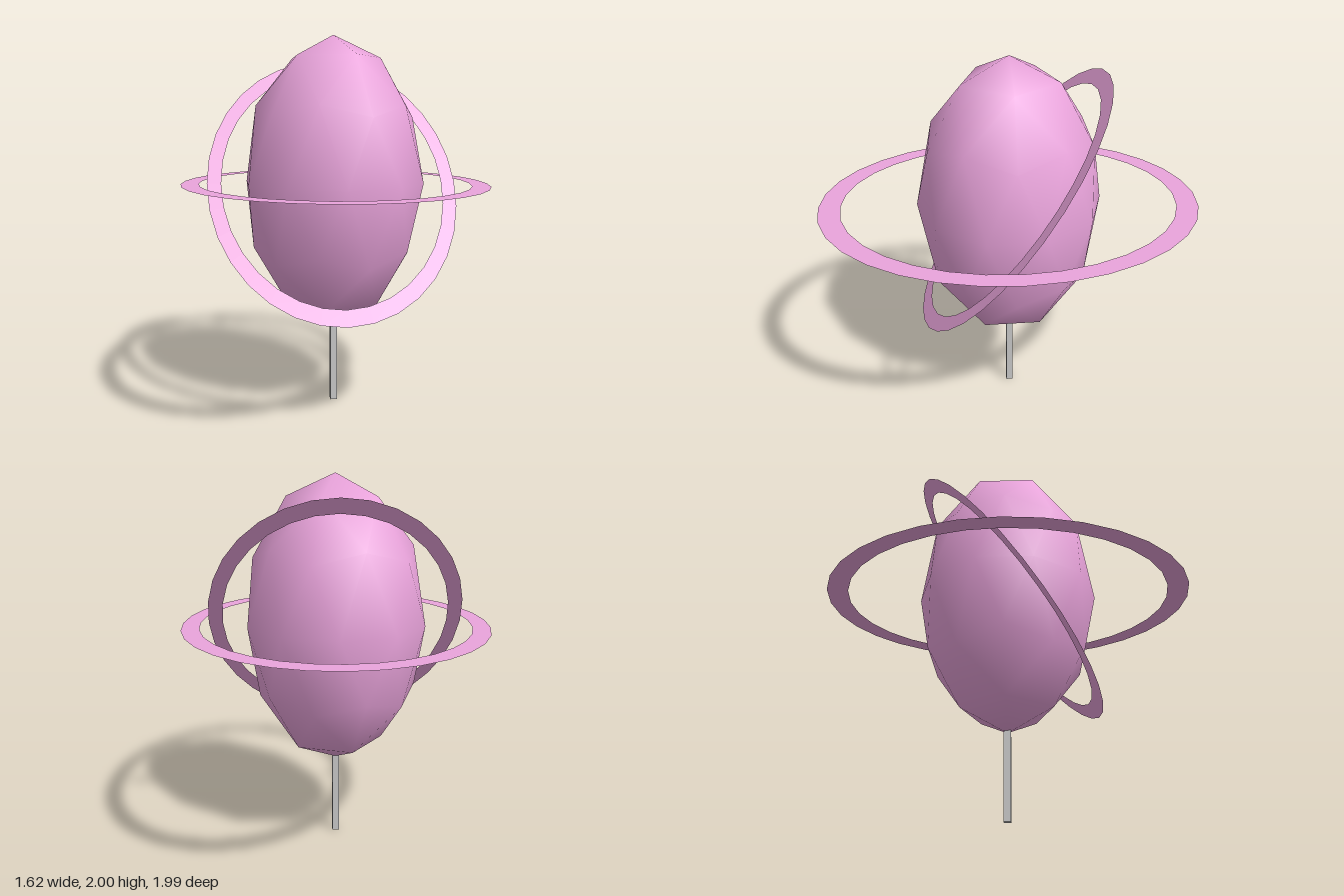
import * as THREE from 'three';

const CENTER_Y = 1.225;
const STRETCH = 1.23; // ring length compared with its width

const pink = new THREE.MeshStandardMaterial({ color: 0xeaa4dc });
const pinkThin = new THREE.MeshStandardMaterial({ color: 0xeaa4dc, side: THREE.DoubleSide });
const grey = new THREE.MeshStandardMaterial({ color: 0xcccccc });

// Flat oval ring, long axis tipped back from upright by tilt
function ring(name, inner, outer, tilt) {
  const geometry = new THREE.RingGeometry(inner, outer, 32);
  geometry.scale(1, STRETCH, 1);
  geometry.rotateX(-tilt);
  const mesh = new THREE.Mesh(geometry, pinkThin);
  mesh.name = name;
  mesh.position.y = CENTER_Y;
  return mesh;
}

export function createModel() {
  const group = new THREE.Group();
  group.name = 'ringedOrb';

  // Egg-shaped body: icosphere with a corner at each pole, stretched upright
  const bodyGeometry = new THREE.IcosahedronGeometry(1, 1);
  bodyGeometry.rotateX(-Math.atan((1 + Math.sqrt(5)) / 2));
  bodyGeometry.rotateY(Math.PI / 2);
  bodyGeometry.scale(0.485, 0.775, 0.485);
  const body = new THREE.Mesh(bodyGeometry, pink);
  body.name = 'body';
  body.position.y = CENTER_Y;
  group.add(body);

  // Square stick
  const stick = new THREE.Mesh(new THREE.BoxGeometry(0.037, 0.46, 0.037), grey);
  stick.name = 'stick';
  stick.position.y = 0.23;
  group.add(stick);

  // Level outer ring and tilted inner ring
  group.add(ring('levelRing', 0.717, 0.81, Math.PI / 2));
  group.add(ring('tiltedRing', 0.6, 0.675, THREE.MathUtils.degToRad(36.5)));

  return group;
}
